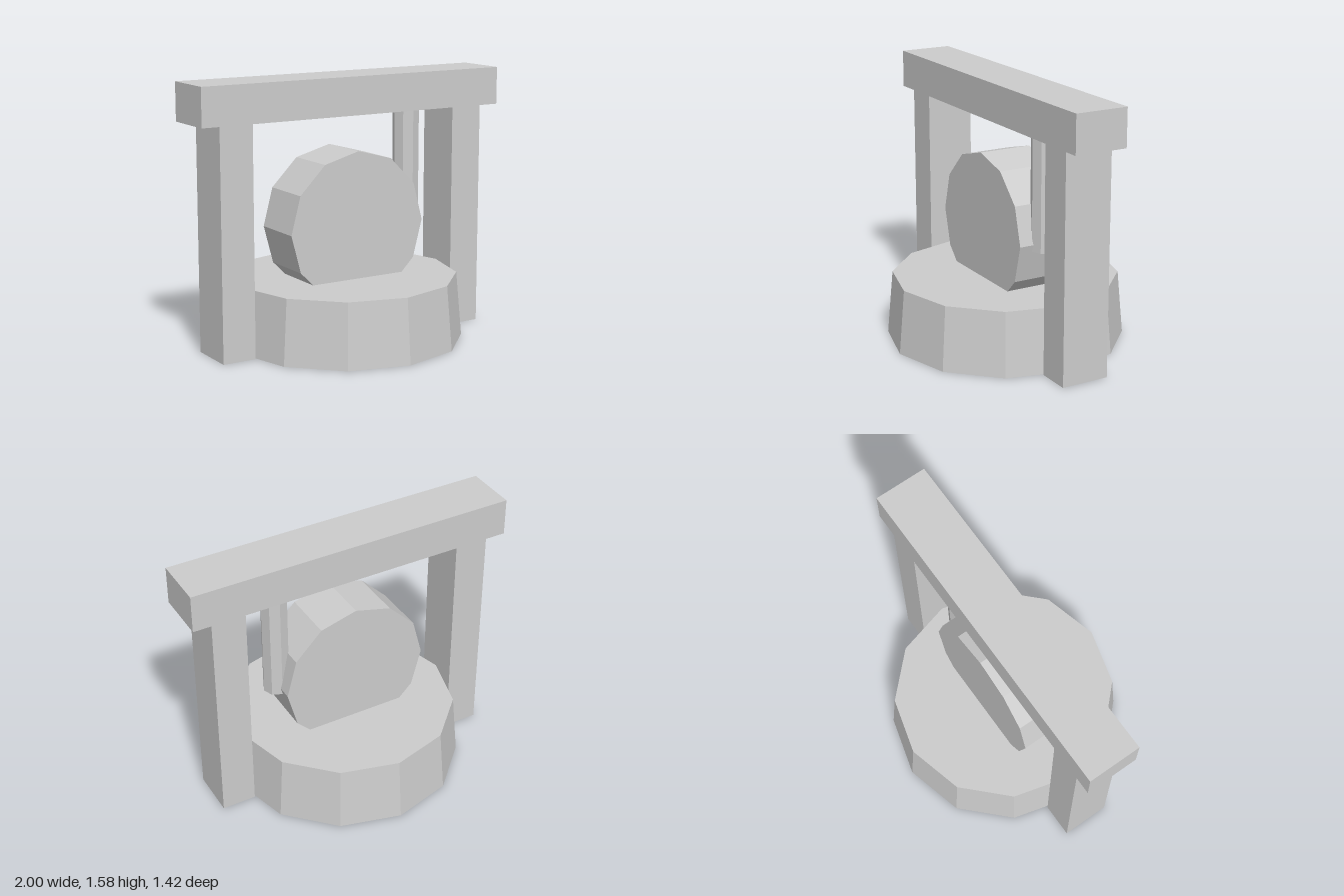
import * as THREE from 'three';

export function createModel() {
  const model = new THREE.Group();
  model.name = 'wheelFrame';

  const stone = new THREE.MeshStandardMaterial({ color: 0xcccccc, flatShading: true });
  stone.name = 'lightGrey';

  const add = (name, geometry, x, y, z = 0) => {
    const mesh = new THREE.Mesh(geometry, stone);
    mesh.name = name;
    mesh.position.set(x, y, z);
    model.add(mesh);
    return mesh;
  };

  // Tapered twelve-sided base
  add('base', new THREE.CylinderGeometry(0.675, 0.71, 0.385, 12), 0, 0.1925);

  // Upright wheel, partly sunk into the base
  const wheel = add('wheel', new THREE.CylinderGeometry(0.45, 0.45, 0.326, 12), 0, 0.692);
  wheel.rotation.x = Math.PI / 2;

  // Posts on both sides
  for (const [side, name] of [[1, 'leftPost'], [-1, 'rightPost']]) {
    add(name, new THREE.BoxGeometry(0.205, 1.35, 0.29), side * 0.7825, 0.675);
  }

  // Top beam
  add('beam', new THREE.BoxGeometry(2, 0.225, 0.32), 0, 1.4625);

  // Octagonal rod hanging from the beam
  add('hangingRod', new THREE.CylinderGeometry(0.08, 0.08, 0.72, 8), 0.44, 1.01);

  return model;
}
